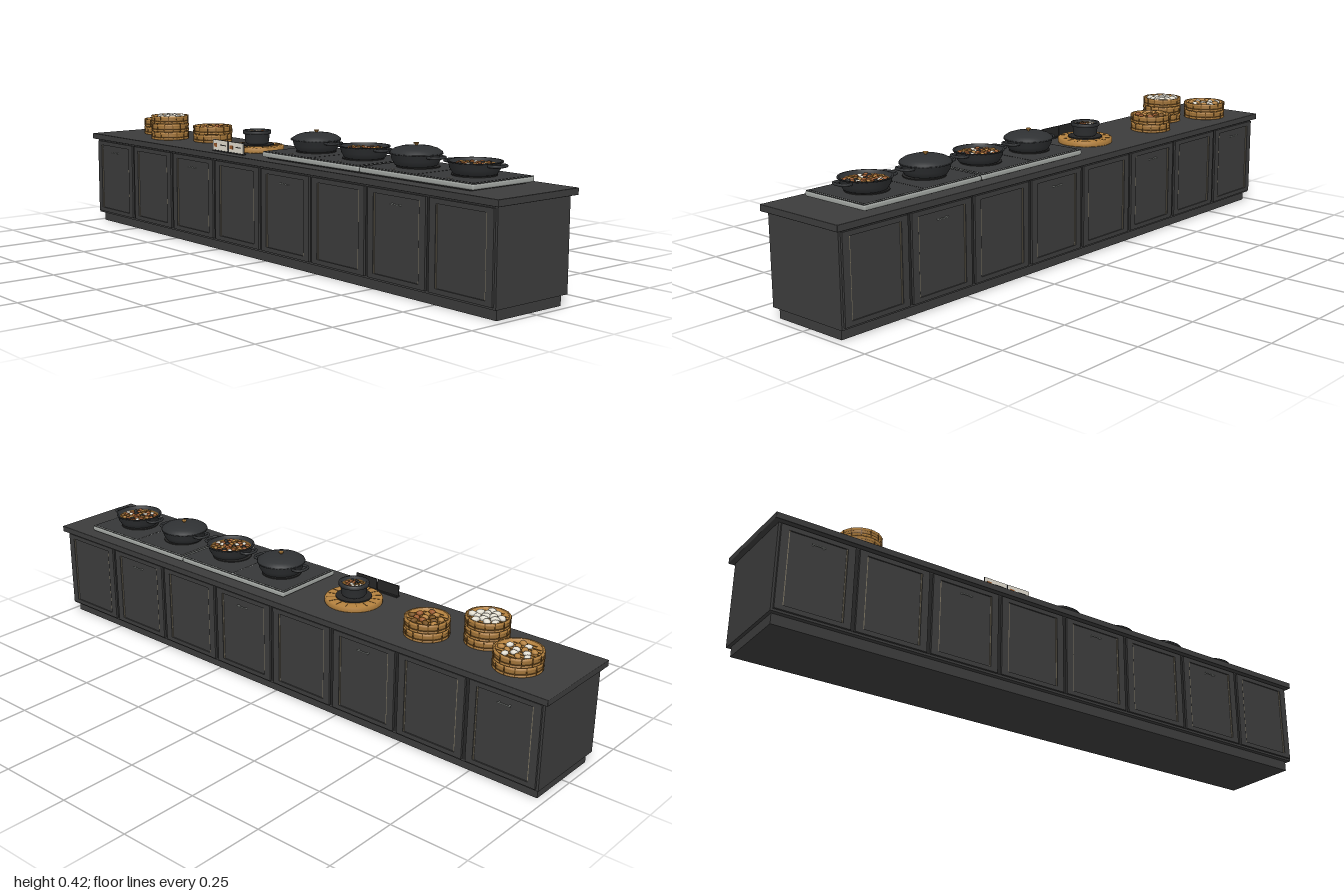
import * as THREE from 'three';
import { RoundedBoxGeometry } from 'three/addons/geometries/RoundedBoxGeometry.js';

const paint = (name, color) => {
  const m = new THREE.MeshStandardMaterial({ color });
  m.name = name;
  return m;
};
const M = {
  cabinet: paint('charcoal cabinet', 0x3c3c3c),
  recess: paint('dark recess', 0x262626),
  iron: paint('cast iron', 0x2f3133),
  glass: paint('hob glass', 0x363738),
  steel: paint('brushed steel', 0xa3a7a3),
  trim: paint('bronze trim', 0x7d7562),
  bamboo: paint('bamboo', 0xb5823f),
  cane: paint('dark cane', 0x76501f),
  cream: paint('cream', 0xe2ddd0),
  stew: paint('braised food', 0x9a5a2c),
};

function add(parent, name, geo, mat, x = 0, y = 0, z = 0) {
  const m = new THREE.Mesh(geo, mat);
  m.name = name;
  m.position.set(x, y, z);
  parent.add(m);
  return m;
}
const box = (w, h, d) => new THREE.BoxGeometry(w, h, d);
const cyl = (r, h, n = 32) => new THREE.CylinderGeometry(r, r, h, n);
const lathe = (pts, n = 40) => new THREE.LatheGeometry(pts.map(p => new THREE.Vector2(...p)), n);

function group(parent, name, x = 0, y = 0, z = 0) {
  const g = new THREE.Group();
  g.name = name;
  g.position.set(x, y, z);
  parent.add(g);
  return g;
}

// Shaker door facing +z, centred on its own origin
function door(parent, x, withHandle) {
  const g = group(parent, 'door', x, 0.17, 0.145);
  const w = 0.232, h = 0.262, rail = 0.024;
  const frame = new THREE.Shape([[-1, -1], [1, -1], [1, 1], [-1, 1]].map(([a, b]) => new THREE.Vector2(a * w / 2, b * h / 2)));
  const iw = w / 2 - rail, ih = h / 2 - rail * 0.6;
  frame.holes.push(new THREE.Path([[-1, -1], [-1, 1], [1, 1], [1, -1]].map(([a, b]) => new THREE.Vector2(a * iw, b * ih))));
  add(g, 'doorFrame', new THREE.ExtrudeGeometry(frame, { depth: 0.007, bevelEnabled: false }), M.cabinet);
  add(g, 'doorPanel', box(iw * 2, ih * 2, 0.003), M.cabinet, 0, 0, 0.0015);
  for (const s of [-1, 1]) {
    add(g, 'doorTrim', box(0.003, ih * 2, 0.002), M.trim, s * (iw - 0.002), 0, 0.004);
  }
  if (withHandle) {
    add(g, 'handleBar', box(0.042, 0.003, 0.003), M.steel, 0, 0.094, 0.0105);
    for (const s of [-1, 1]) add(g, 'handlePost', box(0.003, 0.003, 0.009), M.steel, s * 0.017, 0.094, 0.006);
  }
}

// Lumps of food arranged in a sunflower spiral
function pieces(parent, name, count, radius, size, y, mats) {
  for (let i = 0; i < count; i++) {
    const a = i * 2.4, r = radius * Math.sqrt((i + 0.3) / count);
    const p = add(parent, name, new THREE.SphereGeometry(size, 10, 7), mats[i % mats.length], r * Math.cos(a), y, r * Math.sin(a));
    p.scale.set(1.1, 0.65, 0.85);
    p.rotation.y = i * 1.7;
  }
}

// Stacked bamboo steamer
function steamer(parent, x, z, r, tiers, filling, size) {
  const g = group(parent, 'steamer', x, 0.327, z), h = 0.0285;
  for (let t = 0; t < tiers; t++) {
    const y = t * h;
    add(g, 'steamerWall', lathe([[0, y], [r - 0.002, y], [r - 0.002, y + h - 0.002], [r - 0.008, y + h - 0.002], [r - 0.008, y + h - 0.011], [0, y + h - 0.011]]), M.bamboo);
    for (const [by, bh] of [[0.004, 0.006], [h - 0.006, 0.008]]) {
      add(g, 'steamerHoop', lathe([[r - 0.004, y + by - bh / 2], [r, y + by - bh / 2], [r, y + by + bh / 2], [r - 0.006, y + by + bh / 2]]), M.bamboo);
    }
    add(g, 'steamerSeam', cyl(r - 0.001, 0.0025), M.cane, 0, y + 0.0085, 0);
    for (let i = 0; i < 14; i++) {
      const a = (i + t * 0.5) / 14 * Math.PI * 2;
      const s = add(g, 'caneBinding', box(0.003, h - 0.004, 0.002), M.cane, r * Math.sin(a), y + h / 2, r * Math.cos(a));
      s.rotation.y = a;
    }
  }
  // Slatted floor of the top tier
  const top = tiers * h - 0.0105;
  for (let i = -4; i <= 4; i++) {
    const sz = i * r * 0.2;
    add(g, 'floorSlat', box(2 * Math.sqrt((r - 0.01) ** 2 - sz * sz), 0.002, 0.004), M.cane, 0, top, sz);
  }
  pieces(g, 'dumpling', 14, r * 0.74, size, top + 0.004, filling);
}

// Wide casserole with side loops, either lidded or filled
function casserole(parent, x, z, lidded) {
  const g = group(parent, 'casserole', x, 0.352, z);
  add(g, 'potBody', lathe([[0, 0], [0.054, 0], [0.062, 0.003], [0.071, 0.018], [0.075, 0.034], [0.078, 0.035], [0.078, 0.038],
    [0.072, 0.038], [0.068, 0.024], [0, 0.024]]), M.iron);
  for (const s of [-1, 1]) {
    const curve = new THREE.CatmullRomCurve3([[0.072, -0.026], [0.09, -0.026], [0.098, -0.016], [0.1, 0], [0.098, 0.016], [0.09, 0.026], [0.072, 0.026]]
      .map(([a, b]) => new THREE.Vector3(s * a, 0.031, b)));
    add(g, 'loopHandle', new THREE.TubeGeometry(curve, 24, 0.0045, 8), M.iron);
  }
  if (lidded) {
    add(g, 'potLid', lathe([[0.077, 0.038], [0.076, 0.042], [0.064, 0.05], [0.045, 0.056], [0.02, 0.059], [0, 0.0595]]), M.iron);
    add(g, 'lidKnob', lathe([[0, 0.059], [0.004, 0.059], [0.004, 0.062], [0.008, 0.064], [0.008, 0.067], [0, 0.068]], 20), M.bamboo);
  } else {
    add(g, 'sauce', cyl(0.068, 0.002), M.cane, 0, 0.026, 0);
    pieces(g, 'stewPiece', 40, 0.058, 0.008, 0.028, [M.stew, M.recess, M.stew, M.bamboo, M.cane, M.stew, M.cream]);
  }
}

export function createModel() {
  const root = new THREE.Group();
  root.name = 'buffetCounter';

  // Cabinet
  add(root, 'plinth', box(1.95, 0.034, 0.26), M.cabinet, 0, 0.017, 0);
  add(root, 'carcass', box(1.97, 0.273, 0.29), M.cabinet, 0, 0.1685, 0);
  add(root, 'shadowGap', box(1.96, 0.004, 0.284), M.recess, 0, 0.306, 0);
  add(root, 'worktop', new RoundedBoxGeometry(2, 0.02, 0.322, 2, 0.002), M.cabinet, 0, 0.317, 0);

  // Doors on both long sides, every second one with a handle
  const pitch = 1.97 / 8;
  for (const back of [false, true]) {
    const side = group(root, back ? 'backDoors' : 'frontDoors');
    if (back) side.rotation.y = Math.PI;
    for (let i = 0; i < 8; i++) {
      door(side, (i - 3.5) * pitch, i % 2 === (back ? 1 : 0));
      if (i) add(side, 'doorGap', box(0.011, 0.262, 0.002), M.recess, (i - 4) * pitch, 0.17, 0.1455);
    }
  }

  // Two double hobs
  const hob = group(root, 'hobs');
  add(hob, 'hobBase', box(0.87, 0.006, 0.22), M.recess, 0.423, 0.33, 0);
  for (const [x0, x1] of [[-0.028, 0.4225], [0.4275, 0.876]]) {
    add(hob, 'hobTray', new RoundedBoxGeometry(x1 - x0, 0.017, 0.248, 3, 0.006), M.steel, (x0 + x1) / 2, 0.3395, -0.002);
    add(hob, 'hobRim', box(x1 - x0 - 0.004, 0.002, 0.242), M.glass, (x0 + x1) / 2, 0.3477, -0.002);
    add(hob, 'hobInlay', box(x1 - x0 - 0.008, 0.0012, 0.238), M.steel, (x0 + x1) / 2, 0.3485, -0.002);
    const w = (x1 - x0 - 0.016) / 2;
    for (const s of [-1, 1]) {
      const x = (x0 + x1) / 2 + s * (w / 2 + 0.0015);
      add(hob, 'hobGlass', box(w, 0.002, 0.231), M.glass, x, 0.3489, -0.002);
      add(hob, 'hobControl', box(0.02, 0.001, 0.004), M.cream, x, 0.3502, 0.09);
      add(hob, 'potRest', cyl(0.064, 0.004), M.recess, x, 0.351, -0.006);
    }
  }
  [0.09, 0.315, 0.535, 0.765].forEach((x, i) => casserole(root, x, -0.005, i % 2 === 0));

  // Small pot on a round wooden stand
  const stand = group(root, 'sauceStation', -0.203, 0.327, 0.005);
  add(stand, 'woodenRing', lathe([[0.05, 0], [0.088, 0], [0.09, 0.003], [0.09, 0.015], [0.086, 0.018], [0.052, 0.018], [0.05, 0.014]]), M.bamboo);
  for (let i = 0; i < 16; i++) {
    const a = i / 16 * Math.PI * 2;
    const s = add(stand, 'ringJoint', box(0.002, 0.001, 0.03), M.cane, 0.07 * Math.sin(a), 0.0184, 0.07 * Math.cos(a));
    s.rotation.y = a;
  }
  add(stand, 'burner', cyl(0.056, 0.022), M.recess, 0, 0.011, 0);
  add(stand, 'saucePot', lathe([[0, 0.022], [0.034, 0.022], [0.04, 0.03], [0.041, 0.055], [0.047, 0.056], [0.047, 0.067],
    [0.037, 0.067], [0.036, 0.058], [0, 0.058]]), M.iron);
  add(stand, 'sauce', cyl(0.036, 0.002), M.cane, 0, 0.059, 0);
  pieces(stand, 'sauceTopping', 18, 0.028, 0.006, 0.061, [M.stew, M.recess, M.cream, M.stew, M.cane]);

  // Pair of menu cards on dark stands
  for (const x of [-0.247, -0.161]) {
    const card = group(root, 'menuCard', x, 0.327, 0.122);
    add(card, 'cardFoot', box(0.08, 0.004, 0.014), M.recess, 0, 0.002, -0.002);
    add(card, 'cardBack', box(0.082, 0.036, 0.004), M.recess, 0, 0.02, 0);
    add(card, 'cardFace', box(0.08, 0.034, 0.001), M.cream, 0, 0.02, 0.0025);
    add(card, 'cardPicture', box(0.016, 0.012, 0.001), M.stew, -0.024, 0.02, 0.003);
    add(card, 'cardStripe', box(0.03, 0.003, 0.001), M.recess, 0.014, 0.022, 0.003);
  }

  // Bamboo steamers
  steamer(root, -0.83, -0.043, 0.072, 2, [M.cream, M.bamboo], 0.011);
  steamer(root, -0.675, 0.034, 0.066, 3, [M.cream], 0.013);
  steamer(root, -0.512, -0.036, 0.068, 2, [M.bamboo, M.cane, M.stew], 0.011);

  return root;
}
